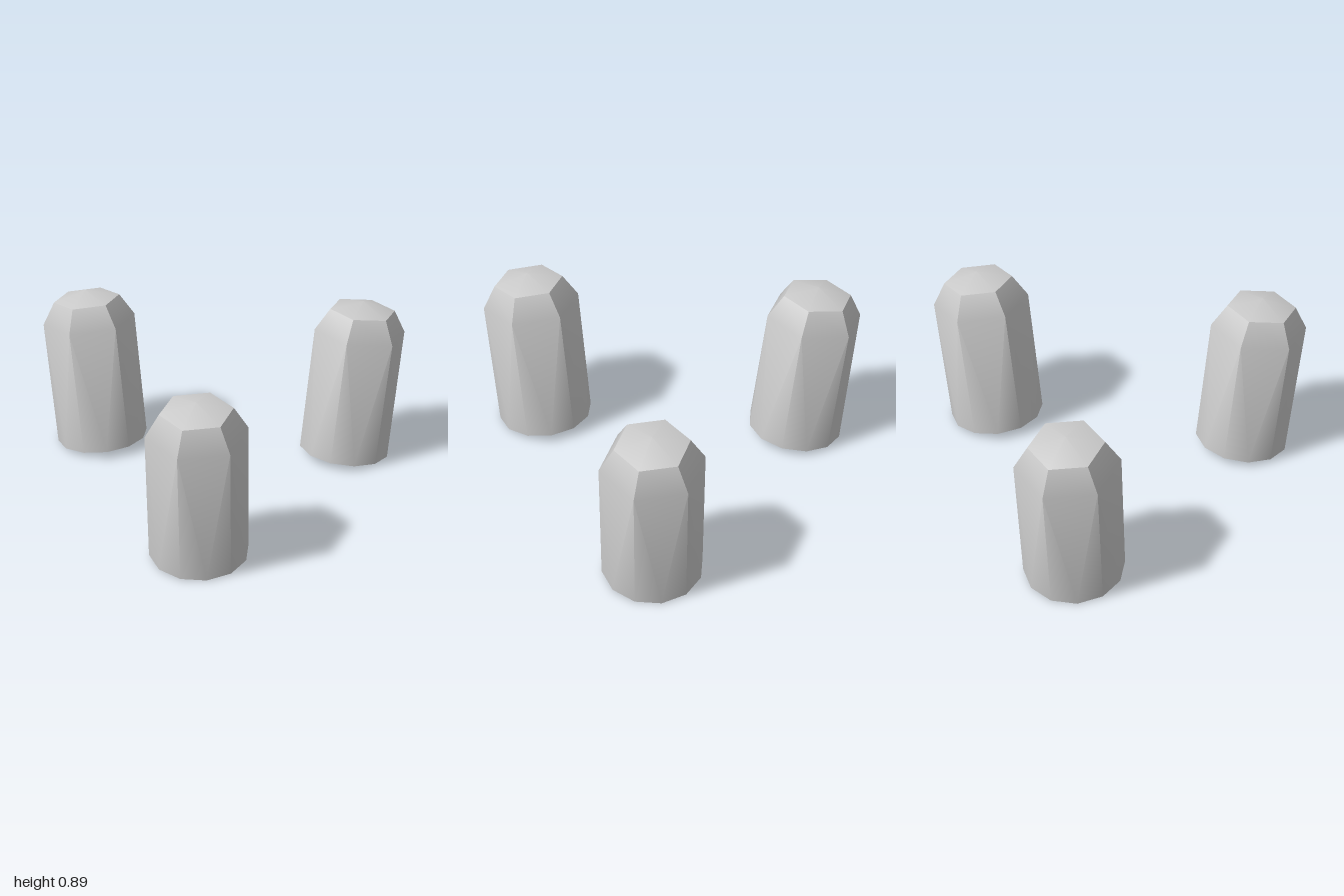
import * as THREE from 'three';
import { toCreasedNormals } from 'three/addons/utils/BufferGeometryUtils.js';

const RADIUS = 0.252, SHOULDER = 0.7, CROWN = 0.82, TIP = 0.87;

// Point on a ring; angle in degrees from +z towards +x
function ringPoint(deg, radius, y) {
  const a = THREE.MathUtils.degToRad(deg);
  return [radius * Math.sin(a), y, radius * Math.cos(a)];
}

// Open 12-sided base rising to a six-cornered shoulder and a faceted dome
function capGeometry() {
  const base = (a) => ringPoint(a, RADIUS, 0);
  const shoulder = (a) => ringPoint(a, RADIUS, SHOULDER);
  const crown = (a) => ringPoint(a, 0.18, CROWN);
  const tip = [0, TIP, 0];
  const points = [];
  const tri = (...corners) => corners.forEach((c) => points.push(...c));

  for (let i = 0; i < 6; i++) {
    const a = -15 + 60 * i, mid = a + 30, b = a + 60;
    // wall
    tri(base(a), base(mid), shoulder(a));
    tri(shoulder(a), base(mid), shoulder(b));
    tri(base(mid), base(b), shoulder(b));
    // dome
    tri(shoulder(a), shoulder(b), crown(a));
    tri(crown(a), shoulder(b), crown(b));
    tri(crown(a), crown(b), tip);
  }
  const geometry = new THREE.BufferGeometry();
  geometry.setAttribute('position', new THREE.Float32BufferAttribute(points, 3));
  return toCreasedNormals(geometry, 0.6);
}

export function createModel() {
  const model = new THREE.Group();
  model.name = 'roundedCaps';
  const geometry = capGeometry();
  const material = new THREE.MeshStandardMaterial({ color: 0xcccccc, side: THREE.DoubleSide });

  // Three caps around a circle, each leaning outwards
  ['frontCap', 'backLeftCap', 'backRightCap'].forEach((name, i) => {
    const arm = new THREE.Group();
    arm.name = name;
    arm.rotation.y = (i * Math.PI * 2) / 3;
    arm.position.z = -0.21;
    const cap = new THREE.Mesh(geometry, material);
    cap.name = name + 'Shell';
    cap.position.set(0, 0.025, 0.79);
    cap.rotation.x = 0.1;
    arm.add(cap);
    model.add(arm);
  });
  return model;
}
